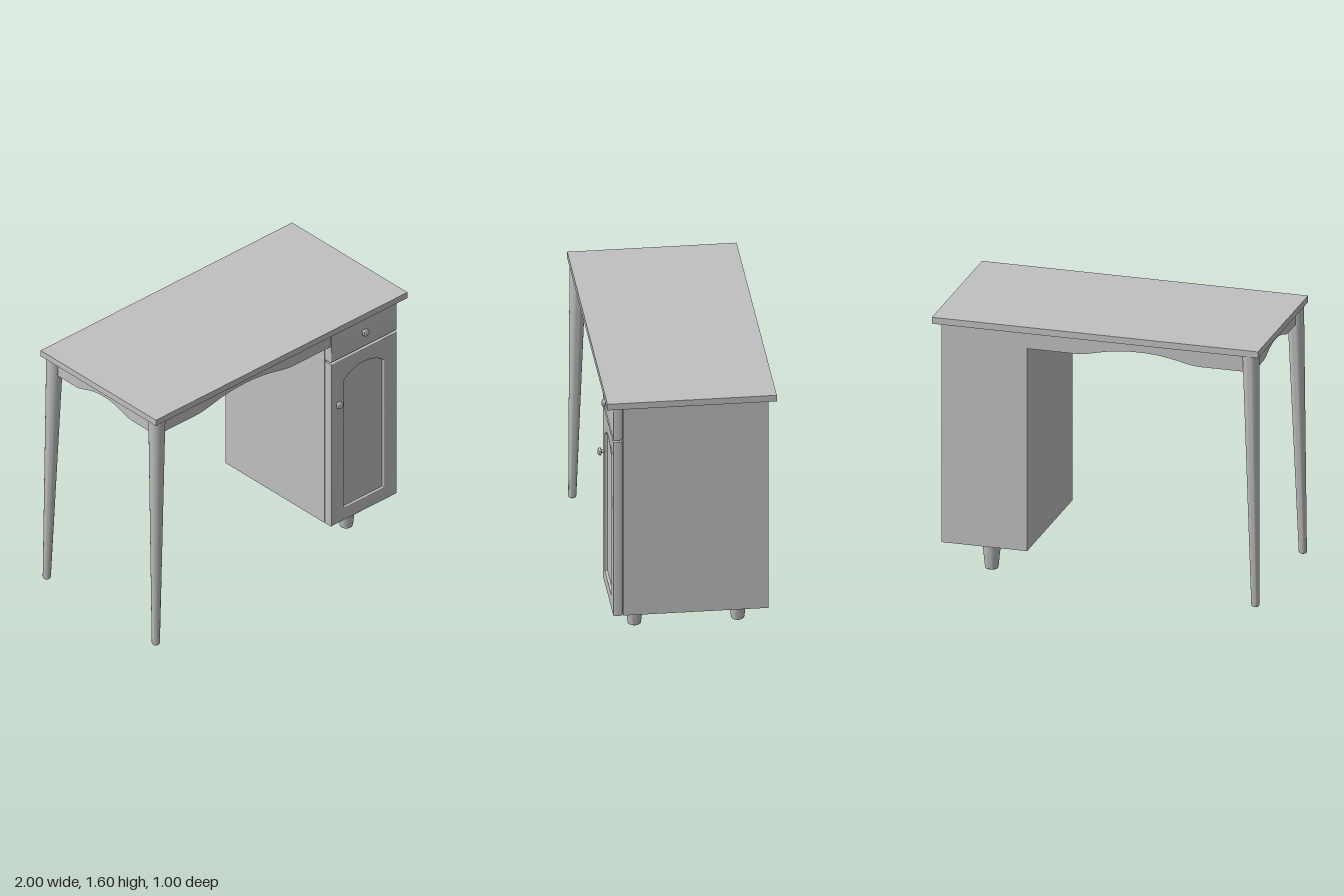
import * as THREE from 'three';
import { toCreasedNormals } from 'three/addons/utils/BufferGeometryUtils.js';

const V = (x, y) => new THREE.Vector2(x, y);

export function createModel() {
  const desk = new THREE.Group();
  desk.name = 'desk';
  const grey = new THREE.MeshStandardMaterial({ color: 0xc0c0c0 });
  grey.name = 'grey paint';

  const add = (name, geometry, x = 0, y = 0, z = 0) => {
    const mesh = new THREE.Mesh(geometry, grey);
    mesh.name = name;
    mesh.position.set(x, y, z);
    desk.add(mesh);
    return mesh;
  };
  // box given by its lowest and highest corners
  const box = (name, [x0, y0, z0], [x1, y1, z1]) =>
    add(name, new THREE.BoxGeometry(x1 - x0, y1 - y0, z1 - z0),
      (x0 + x1) / 2, (y0 + y1) / 2, (z0 + z1) / 2);
  const turned = (points) =>
    toCreasedNormals(new THREE.LatheGeometry(points, 32), 0.6);
  // tapered round post with a softened bottom edge
  const post = (rBottom, rTop, height) => turned([
    V(0, 0), V(rBottom - 0.008, 0), V(rBottom - 0.002, 0.004), V(rBottom, 0.012), V(rTop, height)]);

  // table top
  box('tableTop', [-1, 1.56, -0.5], [1, 1.6, 0.5]);

  // long legs, splayed outward toward the floor
  for (const side of [1, -1]) {
    const geometry = post(0.024, 0.05, 1.56);
    const pos = geometry.attributes.position;
    for (let i = 0; i < pos.count; i++) {
      const splay = 1 - pos.getY(i) / 1.56;
      pos.setX(i, pos.getX(i) - 0.036 * splay);
      pos.setZ(i, pos.getZ(i) + side * 0.03 * splay);
    }
    add(side > 0 ? 'frontLeg' : 'backLeg', geometry, -0.94, 0, side * 0.443);
  }

  // aprons with a wavy lower edge, centred on their length
  const apron = (length) => {
    const h = length / 2, s = new THREE.Shape();
    const w = 0.285 * length;
    s.moveTo(-h, 0.11);
    s.lineTo(-h, 0);
    s.lineTo(-w, 0);
    s.bezierCurveTo(-w * 0.72, 0, -w * 0.55, 0.05, 0, 0.05);
    s.bezierCurveTo(w * 0.55, 0.05, w * 0.72, 0, w, 0);
    s.lineTo(h, 0);
    s.lineTo(h, 0.11);
    const g = new THREE.ExtrudeGeometry(s, { depth: 0.03, bevelEnabled: false, curveSegments: 16 });
    g.translate(0, 0, -0.015);
    return toCreasedNormals(g, 0.5);
  };
  add('frontApron', apron(1.36), -0.25, 1.45, 0.44);
  add('backApron', apron(1.36), -0.25, 1.45, -0.44);
  add('sideApron', apron(0.87), -0.94, 1.45, 0).rotation.y = Math.PI / 2;

  // cabinet carcass
  box('cabinet', [0.43, 0.185, -0.455], [0.955, 1.56, 0.402]);

  // bevelled fronts, the door with an arched opening
  const front = (y0, y1, hole) => {
    const s = new THREE.Shape([V(0.43, y0), V(0.955, y0), V(0.955, y1), V(0.43, y1)]);
    if (hole) s.holes.push(hole);
    const b = 0.006;
    const g = new THREE.ExtrudeGeometry(s, {
      depth: 0.055 - 2 * b, bevelThickness: b, bevelSize: b, bevelOffset: -b,
      bevelSegments: 3, curveSegments: 24,
    });
    return toCreasedNormals(g, 0.6);
  };
  const arch = new THREE.Path();
  const radius = 0.237, half = Math.asin(0.1575 / radius);
  arch.moveTo(0.535, 0.275);
  arch.lineTo(0.85, 0.275);
  arch.lineTo(0.85, 1.17);
  arch.absarc(0.6925, 1.23 - radius, radius, Math.PI / 2 - half, Math.PI / 2 + half, false);
  arch.lineTo(0.535, 0.275);
  add('drawerFront', front(1.337, 1.556), 0, 0, 0.411);
  add('doorFrame', front(0.185, 1.325, arch), 0, 0, 0.411);
  box('doorPanel', [0.515, 0.255, 0.412], [0.87, 1.25, 0.444]);

  // round knobs on short stems
  const knob = turned([V(0.009, 0), V(0.009, 0.016), V(0.018, 0.017), V(0.024, 0.021),
    V(0.024, 0.026), V(0.021, 0.033), V(0.013, 0.038), V(0, 0.04)]);
  add('drawerKnob', knob, 0.685, 1.45, 0.458).rotation.x = Math.PI / 2;
  add('doorKnob', knob, 0.48, 1.03, 0.458).rotation.x = Math.PI / 2;

  // short cabinet feet
  for (const z of [0.305, -0.305])
    add('cabinetFoot', post(0.04, 0.058, 0.187), 0.6925, 0, z);

  return desk;
}
